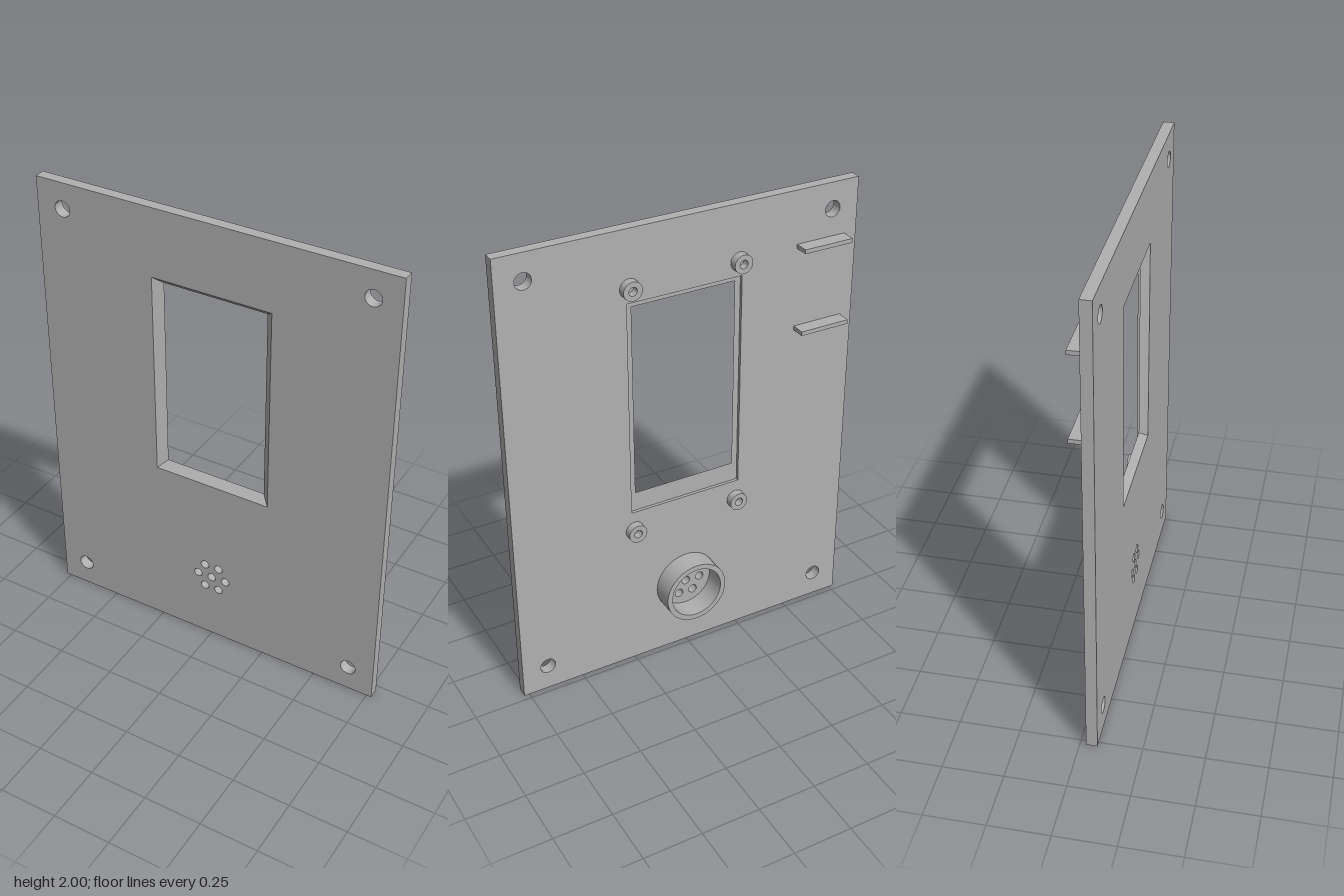
import * as THREE from 'three';
import { toCreasedNormals } from 'three/addons/utils/BufferGeometryUtils.js';

const BACK = 0.025, LEDGE = 0.038, FRONT = 0.071;

const grey = new THREE.MeshStandardMaterial({ color: 0xb0b0b0 });
grey.name = 'grey';

const rectPoints = ([x0, y0, x1, y1]) =>
  [[x0, y0], [x1, y0], [x1, y1], [x0, y1]].map(([x, y]) => new THREE.Vector2(x, y));

function circle(Type, x, y, r) {
  const c = new Type();
  c.absarc(x, y, r, 0, Math.PI * 2, Type === THREE.Path);
  return c;
}

// Extrude a holed shape between two depths, smooth around the holes
function slab(name, shape, holes, z0, z1) {
  shape.holes.push(...holes);
  const geo = new THREE.ExtrudeGeometry(shape, { depth: z1 - z0, bevelEnabled: false, curveSegments: 20 });
  geo.translate(0, 0, z0);
  const mesh = new THREE.Mesh(toCreasedNormals(geo, 0.6), grey);
  mesh.name = name;
  return mesh;
}

// Sloping frame between the wide front opening and the narrow inner opening
function bezelGeometry(outer, inner) {
  const o = rectPoints(outer), n = rectPoints(inner), pos = [];
  const quad = (a, b, c, d) => [a, b, c, a, c, d].forEach((p) => pos.push(...p));
  for (let i = 0; i < 4; i++) {
    const j = (i + 1) % 4;
    const at = (p, z) => [p.x, p.y, z];
    quad(at(o[i], FRONT), at(o[j], FRONT), at(n[j], LEDGE), at(n[i], LEDGE));
    quad(at(o[j], LEDGE), at(o[i], LEDGE), at(n[i], LEDGE), at(n[j], LEDGE));
  }
  const geo = new THREE.BufferGeometry();
  geo.setAttribute('position', new THREE.Float32BufferAttribute(pos, 3));
  geo.computeVertexNormals();
  return geo;
}

export function createModel() {
  const model = new THREE.Group();
  model.name = 'controlPanel';

  const opening = [-0.26, 0.805, 0.26, 1.705];
  const inner = [-0.225, 0.837, 0.225, 1.675];
  const recess = [-0.25, 0.752, 0.25, 1.697];
  const speakerY = 0.318;

  // Round holes shared by both layers of the plate
  const drillings = () => {
    const holes = [circle(THREE.Path, 0, speakerY, 0.019)];
    for (const x of [-0.657, 0.657])
      for (const y of [0.115, 1.888]) holes.push(circle(THREE.Path, x, y, 0.034));
    for (let i = 0; i < 6; i++) {
      const a = (i * Math.PI) / 3;
      holes.push(circle(THREE.Path, Math.cos(a) * 0.066, speakerY + Math.sin(a) * 0.066, 0.019));
    }
    return holes;
  };

  // Plate: front layer with the opening, back layer with the display recess
  const layer = (name, window, z0, z1) => {
    const outline = new THREE.Shape(rectPoints([-0.772, 0, 0.772, 2]));
    return slab(name, outline, [new THREE.Path(rectPoints(window).reverse()), ...drillings()], z0, z1);
  };
  model.add(layer('frontPlate', opening, LEDGE, FRONT), layer('backPlate', recess, BACK, LEDGE));

  const bezel = new THREE.Mesh(bezelGeometry(opening, inner), grey);
  bezel.name = 'windowBezel';
  model.add(bezel);

  // Speaker collar on the back
  model.add(slab('speakerRing', circle(THREE.Shape, 0, speakerY, 0.139),
    [circle(THREE.Path, 0, speakerY, 0.116)], -0.071, BACK));

  // Screw bosses around the display
  for (const x of [-0.238, 0.238])
    for (const y of [0.664, 1.76])
      model.add(slab('screwBoss', circle(THREE.Shape, x, y, 0.04),
        [circle(THREE.Path, x, y, 0.018)], -0.008, BACK));

  // Two support ribs on the back
  for (const y of [1.406, 1.764]) {
    const rib = new THREE.Mesh(new THREE.BoxGeometry(0.22, 0.018, 0.06), grey);
    rib.position.set(-0.608, y, BACK - 0.03);
    rib.name = 'supportRib';
    model.add(rib);
  }

  return model;
}
